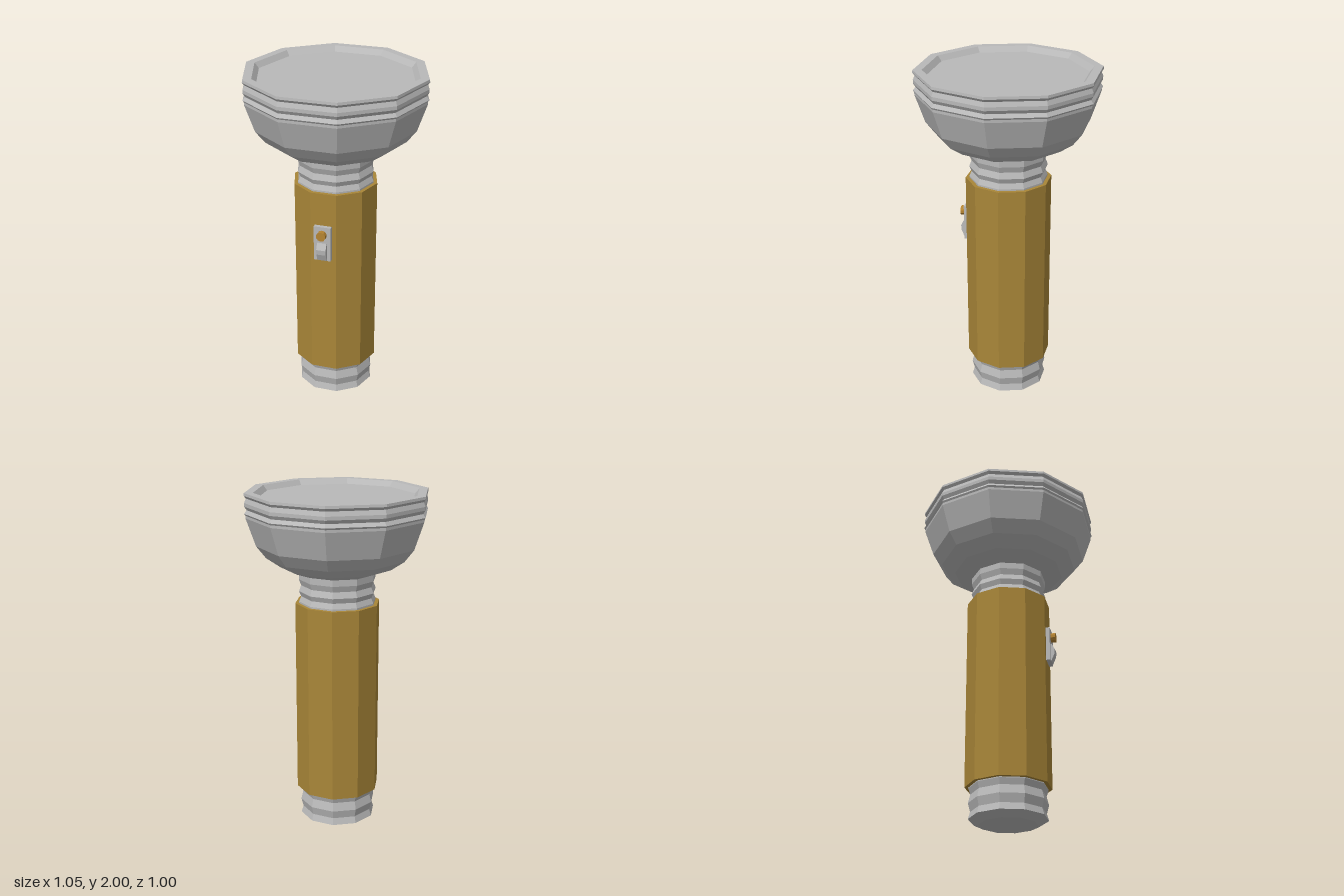
import * as THREE from 'three';

const SIDES = 10;

function makeMaterial(name, color) {
  const m = new THREE.MeshStandardMaterial({ color, flatShading: true });
  m.name = name;
  return m;
}

// Ten-sided turned part from [radius, height] pairs, with a corner on +x
function turned(name, profile, material) {
  const points = profile.map(([r, y]) => new THREE.Vector2(r, y));
  const mesh = new THREE.Mesh(new THREE.LatheGeometry(points, SIDES, Math.PI / 2), material);
  mesh.name = name;
  return mesh;
}

export function createModel() {
  const metal = makeMaterial('metal grey', 0xb9b9b9);
  const brass = makeMaterial('grip ochre', 0xa98638);
  const amber = makeMaterial('button amber', 0xb58432);

  const model = new THREE.Group();
  model.name = 'flashlight';

  // Ribbed end cap, closed underneath
  model.add(turned('endCap', [
    [0, 0], [0.165, 0], [0.225, 0.03], [0.213, 0.07], [0.226, 0.12],
    [0.213, 0.17], [0.225, 0.205], [0.225, 0.23],
  ], metal));

  // Long handle grip, closed at both ends
  model.add(turned('grip', [[0, 0.21], [0.247, 0.21], [0.247, 1.36], [0, 1.36]], brass));

  // Ribbed neck
  model.add(turned('neck', [
    [0.225, 1.35], [0.225, 1.37], [0.212, 1.4], [0.225, 1.43],
    [0.212, 1.465], [0.225, 1.5], [0.225, 1.54],
  ], metal));

  // Flared head with grooved rim
  model.add(turned('head', [
    [0.2, 1.53], [0.225, 1.537], [0.33, 1.575], [0.41, 1.63], [0.465, 1.7], [0.52, 1.86],
    [0.52, 1.875], [0.527, 1.885], [0.512, 1.905], [0.525, 1.925], [0.525, 1.945],
    [0.515, 1.97], [0.527, 1.985], [0.525, 2], [0.475, 2], [0.45, 1.97],
  ], metal));

  // Recessed lens
  model.add(turned('lens', [[0.45, 1.97], [0, 1.97]], metal));

  // Switch on the front facet
  const switchGroup = new THREE.Group();
  switchGroup.name = 'switch';

  const plate = new THREE.Mesh(new THREE.BoxGeometry(0.1, 0.21, 0.03), metal);
  plate.name = 'switchPlate';
  plate.position.set(0, 1.06, 0.243);

  const button = new THREE.Mesh(new THREE.CylinderGeometry(0.028, 0.028, 0.035, 10), amber);
  button.name = 'switchButton';
  button.rotation.x = Math.PI / 2;
  button.position.set(0, 1.117, 0.2685);

  // Thumb slider: side outline (z, y) extruded across x
  const outline = new THREE.Shape([
    [0.25, 0.957], [0.262, 0.957], [0.28, 1.0], [0.283, 1.03], [0.265, 1.065], [0.25, 1.065],
  ].map(([z, y]) => new THREE.Vector2(z, y)));
  const sliderGeometry = new THREE.ExtrudeGeometry(outline, { depth: 0.056, bevelEnabled: false });
  sliderGeometry.translate(0, 0, -0.028).rotateY(-Math.PI / 2);
  const slider = new THREE.Mesh(sliderGeometry, metal);
  slider.name = 'switchSlider';

  switchGroup.add(plate, button, slider);
  model.add(switchGroup);
  return model;
}
